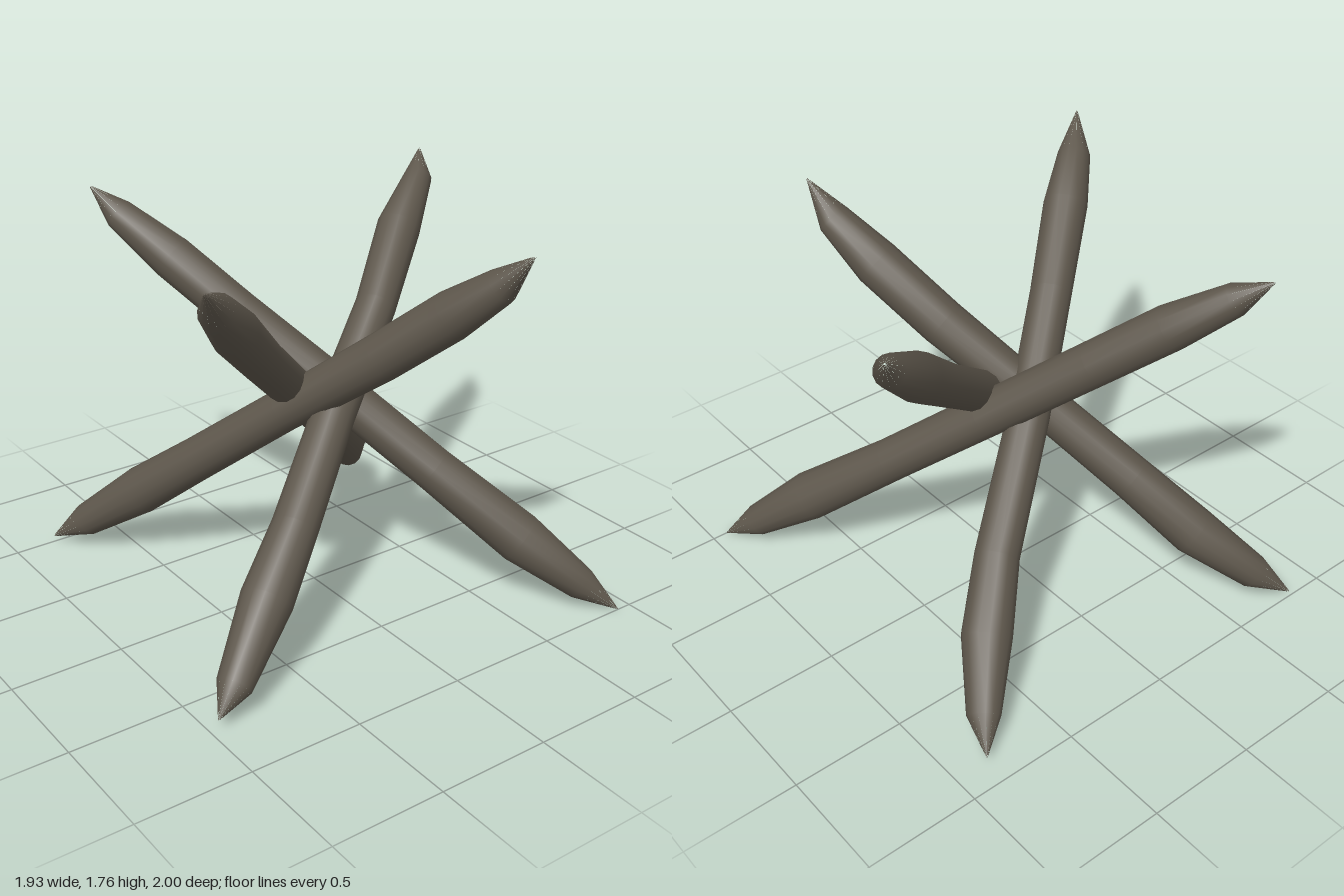
import * as THREE from 'three';

const SIDES = 14;

// Spindle lofted through [x, y, z, radius] stations; the end stations are pointed tips
function spindle(stations, material) {
  const centres = stations.map(([x, y, z]) => new THREE.Vector3(x, y, z));
  const last = stations.length - 1;
  const axis = centres[last].clone().sub(centres[0]).normalize();
  const side = new THREE.Vector3(0, 1, 0).cross(axis).normalize();
  const positions = [];
  const indices = [];

  stations.forEach(([, , , radius], i) => {
    const dir = centres[Math.min(i + 1, last)].clone().sub(centres[Math.max(i - 1, 0)]).normalize();
    const u = side.clone().addScaledVector(dir, -side.dot(dir)).normalize();
    const v = dir.clone().cross(u);
    for (let j = 0; j < SIDES; j++) {
      const a = (j / SIDES) * Math.PI * 2;
      const p = centres[i].clone()
        .addScaledVector(u, Math.cos(a) * radius)
        .addScaledVector(v, Math.sin(a) * radius);
      positions.push(p.x, p.y, p.z);
    }
  });

  for (let i = 0; i < last; i++) {
    for (let j = 0; j < SIDES; j++) {
      const k = (j + 1) % SIDES;
      const a = i * SIDES + j, b = i * SIDES + k;
      const c = a + SIDES, d = b + SIDES;
      if (i > 0) indices.push(a, b, c);
      if (i < last - 1) indices.push(b, d, c);
      else indices.push(a, b, c);
      if (i === 0) indices.push(b, d, c);
    }
  }

  const geometry = new THREE.BufferGeometry();
  geometry.setAttribute('position', new THREE.Float32BufferAttribute(positions, 3));
  geometry.setIndex(indices);
  geometry.computeVertexNormals();
  return new THREE.Mesh(geometry, material);
}

// Each spike runs from its upper tip, through the crossing, to its lower tip
const SPIKES = {
  rightFrontSpike: [
    [-0.93, 1.76, 0.65, 0.002], [-0.80, 1.625, 0.52, 0.075], [-0.65, 1.475, 0.40, 0.1],
    [-0.38, 1.22, 0.18, 0.093], [0, 0.88, -0.12, 0.093], [0.40, 0.51, -0.40, 0.097],
    [0.60, 0.31, -0.58, 0.108], [0.77, 0.12, -0.77, 0.072], [0.85, 0.03, -0.89, 0.002]],
  rightBackSpike: [
    [-0.54, 1.72, -0.93, 0.002], [-0.47, 1.61, -0.80, 0.07], [-0.33, 1.44, -0.60, 0.1],
    [-0.15, 1.22, -0.36, 0.1], [0.14, 0.89, 0, 0.1], [0.40, 0.58, 0.34, 0.1],
    [0.64, 0.30, 0.66, 0.115], [0.82, 0.11, 0.87, 0.075], [0.93, 0.002, 1.0, 0.002]],
  leftFrontSpike: [
    [0.36, 1.72, 0.93, 0.002], [0.325, 1.57, 0.79, 0.075], [0.245, 1.41, 0.60, 0.105],
    [0.10, 1.18, 0.34, 0.105], [-0.13, 0.87, -0.03, 0.095], [-0.36, 0.55, -0.40, 0.1],
    [-0.51, 0.33, -0.66, 0.11], [-0.69, 0.135, -0.88, 0.077], [-0.81, 0.03, -1.0, 0.002]],
  leftBackSpike: [
    [0.96, 1.76, -0.49, 0.002], [0.88, 1.65, -0.40, 0.065], [0.68, 1.475, -0.285, 0.1],
    [0.40, 1.21, -0.09, 0.092], [0, 0.87, 0.14, 0.095], [-0.37, 0.55, 0.38, 0.1],
    [-0.60, 0.35, 0.51, 0.112], [-0.86, 0.135, 0.665, 0.075], [-0.97, 0.05, 0.72, 0.002]],
};

export function createModel() {
  const model = new THREE.Group();
  model.name = 'crossedSpikes';
  const stone = new THREE.MeshStandardMaterial({ color: 0x5e574c });
  stone.name = 'dark grey brown';

  for (const [name, stations] of Object.entries(SPIKES)) {
    const mesh = spindle(stations, stone);
    mesh.name = name;
    model.add(mesh);
  }
  return model;
}
